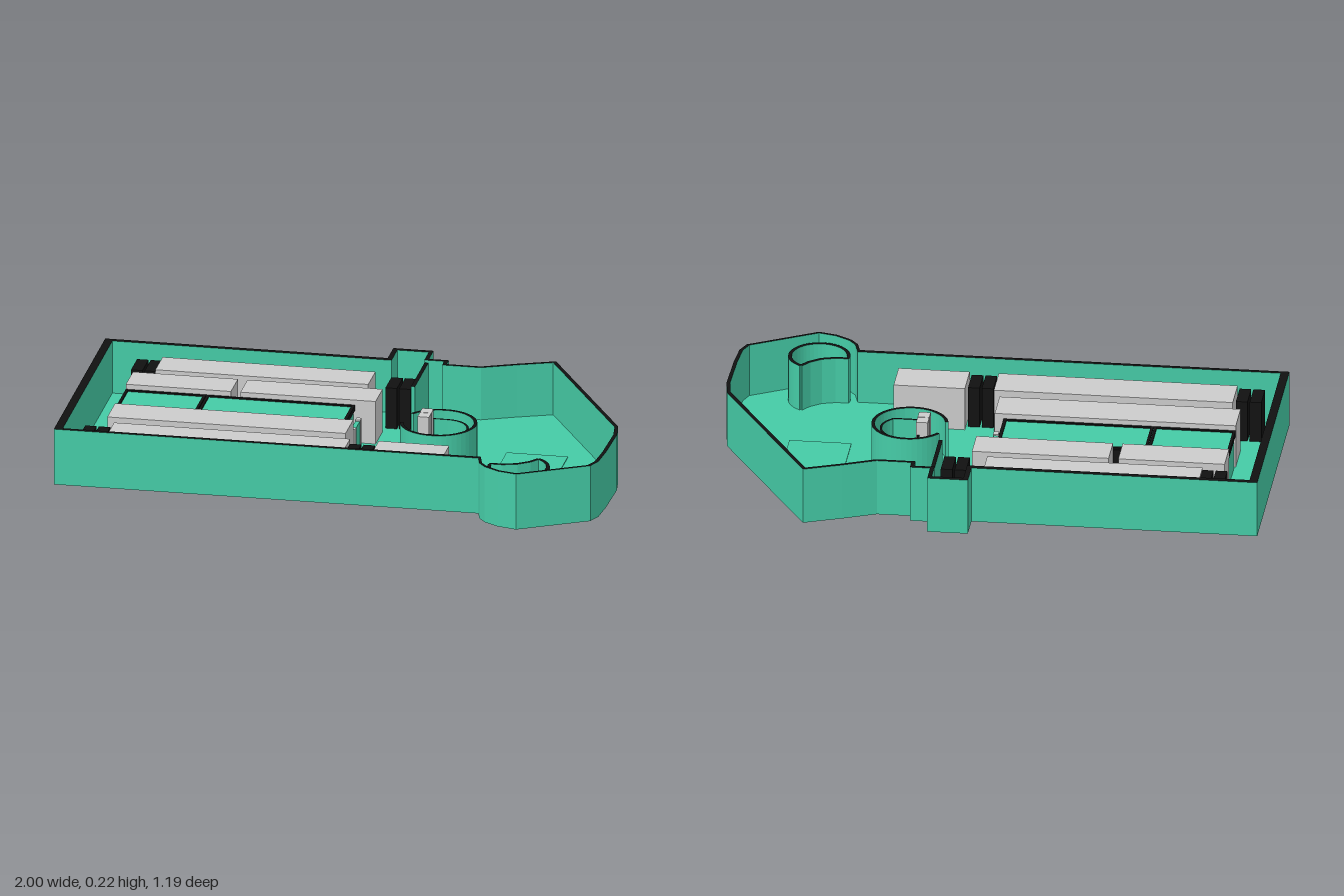
import * as THREE from 'three';

const TOP = 0.225, FLOOR = 0.025, BASE = 0.013;
const green = new THREE.MeshStandardMaterial({ color: 0x45cba6 });
const black = new THREE.MeshStandardMaterial({ color: 0x111111 });
const grey = new THREE.MeshStandardMaterial({ color: 0xcccccc });

// Tray outline: x, z, thickness of the wall that starts at this corner
const OUTLINE = [
  [-1, -0.495, 0.02], [0.035, -0.495, 0.018], [0.035, -0.6, 0.018], [0.182, -0.6, 0.014],
  [0.182, -0.515, 0.014], [0.255, -0.515, 0.014], [0.255, -0.475, 0.012], [0.38, -0.475, 0.012],
  [0.5, -0.527, 0.012], [0.635, -0.58, 0.014], [0.985, 0.035, 0.013], [0.997, 0.12, 0.013],
  [0.993, 0.3, 0.013], [0.985, 0.4, 0.012], [0.965, 0.45, 0.01], [0.72, 0.588, 0.01],
  [0.65, 0.57, 0.01], [0.595, 0.535, 0.01], [0.568, 0.5, 0.01], [0.555, 0.452, 0.016], [-1, 0.456, 0.03],
];

const toShape = (pts) => new THREE.Shape(pts.map(([x, z]) => new THREE.Vector2(x, z)));

// Move each edge of a closed outline inwards by its own thickness
function inset(outline) {
  const n = outline.length;
  const edges = outline.map(([x, z, t], i) => {
    const [x2, z2] = outline[(i + 1) % n];
    const l = Math.hypot(x2 - x, z2 - z), dx = (x2 - x) / l, dz = (z2 - z) / l;
    return { x: x - dz * t, z: z + dx * t, dx, dz };
  });
  return edges.map((b, i) => {
    const a = edges[(i + n - 1) % n];
    const s = ((b.x - a.x) * b.dz - (b.z - a.z) * b.dx) / (a.dx * b.dz - a.dz * b.dx);
    return [a.x + a.dx * s, a.z + a.dz * s];
  });
}

// Strip of constant width along a path
function ribbon(path, width) {
  const side = (sign) => path.map(([x, z], i) => {
    const a = path[Math.max(i - 1, 0)], b = path[Math.min(i + 1, path.length - 1)];
    const dx = b[0] - a[0], dz = b[1] - a[1], l = Math.hypot(dx, dz);
    return [x - (sign * dz / l) * width / 2, z + (sign * dx / l) * width / 2];
  });
  return toShape([...side(1), ...side(-1).reverse()]);
}

function arc(cx, cz, r, fromDeg, toDeg, steps) {
  return Array.from({ length: steps + 1 }, (_, i) => {
    const a = THREE.MathUtils.degToRad(fromDeg + (toDeg - fromDeg) * i / steps);
    return [cx + r * Math.cos(a), cz + r * Math.sin(a)];
  });
}

export function createModel() {
  const model = new THREE.Group();

  const add = (name, geometry, material) => {
    const mesh = new THREE.Mesh(geometry, material);
    mesh.name = name;
    model.add(mesh);
  };
  // Upright extrusion of a plan shape
  const rise = (name, shape, y0, y1, material) => {
    const g = new THREE.ExtrudeGeometry(shape, { depth: y1 - y0, bevelEnabled: false });
    add(name, g.rotateX(Math.PI / 2).translate(0, y1, 0), material);
  };
  const box = (name, x0, x1, y0, y1, z0, z1, material) => {
    const g = new THREE.BoxGeometry(x1 - x0, y1 - y0, z1 - z0);
    add(name, g.translate((x0 + x1) / 2, (y0 + y1) / 2, (z0 + z1) / 2), material);
  };
  const rim = [black, green];

  // Tray
  rise('floor', toShape(OUTLINE), BASE, FLOOR, green);
  const walls = toShape(OUTLINE);
  walls.holes.push(new THREE.Path(inset(OUTLINE).map(([x, z]) => new THREE.Vector2(x, z))));
  rise('outerWall', walls, FLOOR, TOP, rim);
  rise('slotWall', ribbon([[0.176, -0.52], [0.176, -0.25]], 0.014), FLOOR, 0.215, rim);
  box('floorPanel', 0.54, 0.765, FLOOR, FLOOR + 0.003, -0.145, 0.08, green);

  // Long grey blocks
  const blocks = [
    [-0.78, 0, -0.445, -0.312], [-0.855, -0.47, -0.275, -0.145], [-0.435, 0.06, -0.275, -0.145],
    [-0.855, 0.018, 0.055, 0.198], [-0.82, 0.045, 0.25, 0.395], [0.15, 0.408, 0.25, 0.395],
  ];
  for (const [x0, x1, z0, z1] of blocks) box('block', x0, x1, FLOOR, 0.188, z0, z1, grey);

  // Pairs of black contacts at the block ends
  for (const [x, z0, z1] of [[-0.87, -0.428, -0.315], [0.063, -0.422, -0.312], [-0.92, 0.278, 0.388], [0.05, 0.278, 0.388]])
    for (const dx of [0, 0.05]) box('contact', x + dx, x + dx + 0.042, FLOOR, 0.18, z0, z1, black);
  box('blockSpacer', -0.47, -0.435, FLOOR, 0.165, -0.153, -0.142, black);

  // Central compartment with black-edged frame
  box('compartment', -0.85, -0.02, FLOOR, 0.165, -0.138, 0.048, green);
  for (const z of [-0.138, 0.048]) box('compartmentRail', -0.855, -0.015, 0.15, 0.17, z - 0.005, z + 0.005, black);
  for (const [x, w] of [[-0.85, 0.01], [-0.565, 0.01], [-0.553, 0.01], [-0.02, 0.012]])
    box('compartmentDivider', x - w / 2, x + w / 2, 0.15, 0.17, -0.138, 0.048, black);

  // Cover under the compartment and its latch
  box('bottomCover', -0.85, -0.02, 0.008, BASE + 0.001, -0.143, 0.062, green);
  box('latch', -0.002, 0.014, FLOOR, 0.13, -0.1, 0.015, green);
  for (const z of [-0.1, 0]) box('latchTab', -0.003, 0.016, FLOOR, 0.135, z - 0.01, z + 0.015, grey);
  box('latchFoot', -0.01, 0.018, 0, BASE + 0.001, 0, 0.025, grey);

  // Open ring with an inner curved wall and two grey posts
  rise('ring', ribbon(arc(0.315, -0.025, 0.133, 213, 530, 40), 0.012), FLOOR, 0.17, rim);
  const inner = [[0.278, -0.08], [0.278, -0.115], ...arc(0.33, -0.025, 0.09, -90, 50, 16), [0.385, 0.05], [0.288, 0.05]];
  rise('innerWall', ribbon(inner, 0.008), FLOOR, 0.15, rim);
  for (const z of [-0.08, -0.034]) box('post', 0.244, 0.286, FLOOR, 0.2, z, z + 0.043, grey);

  // Crescent tube in the front corner
  const crescent = [
    ...arc(0.7, 0.44, 0.106, -58, 185, 30),
    [0.64, 0.43], [0.69, 0.415], [0.73, 0.385], [0.756, 0.35],
  ];
  rise('crescentTube', ribbon(crescent, 0.013), 0.012, 0.2, rim);

  return model;
}
